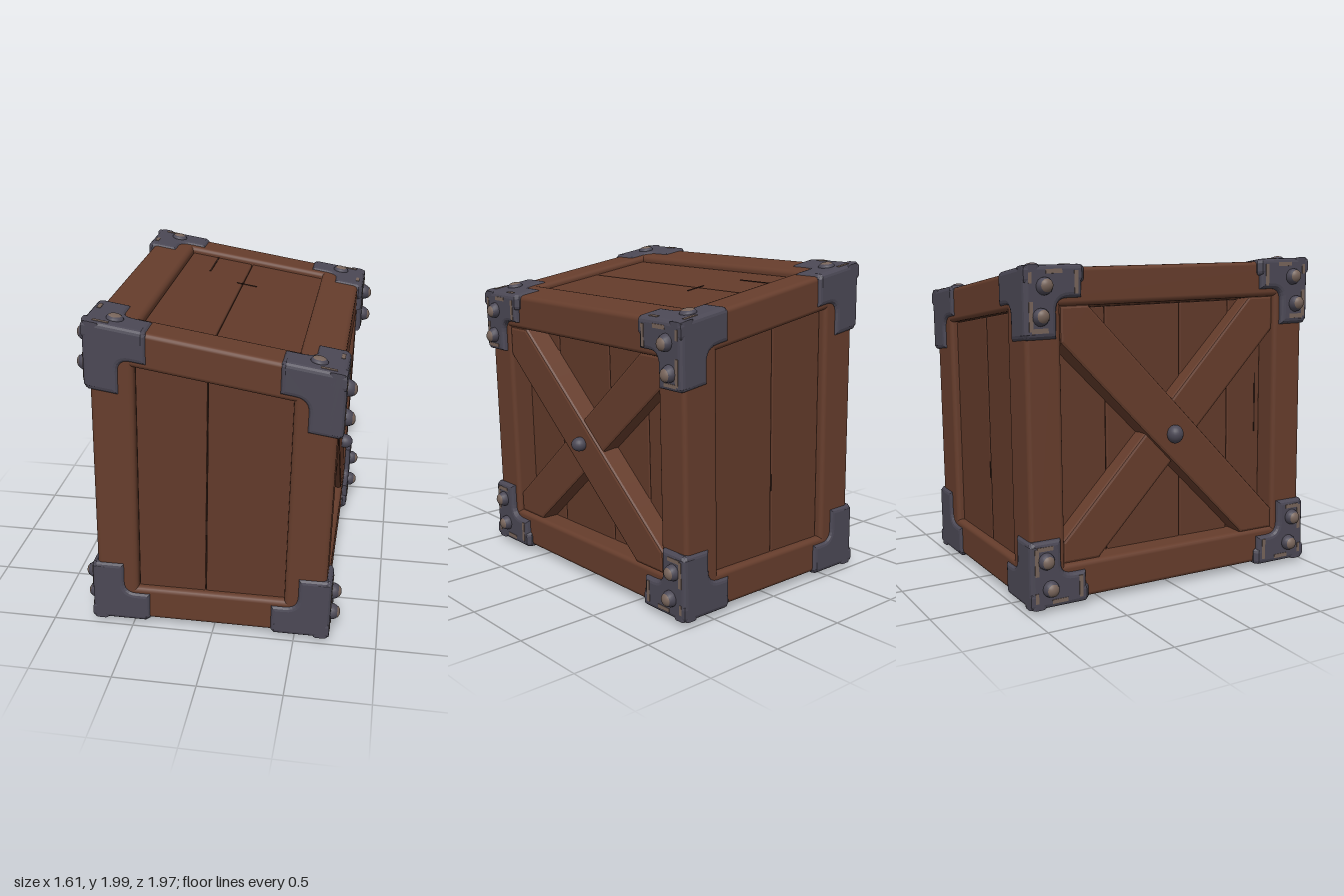
import * as THREE from 'three';
import { RoundedBoxGeometry } from 'three/addons/geometries/RoundedBoxGeometry.js';

const flat = (name, color) => Object.assign(new THREE.MeshStandardMaterial({ color }), { name });

// The crate is laid out as a regular box around the origin, then skewed by bend().
const MID = 0.953, SLOPE = 0.16, LEAN = 0.022;
const BODY = [0.7, 0.909, 0.965];     // half sizes of the timber frame
const INNER = [0.45, 0.692, 0.745];   // half sizes of the panel openings
const CAP = [0.733, 0.922, 0.983];    // half sizes over the metal corners
const SIDE = 0.56;                    // depth of the side panels

// Tilts the upper part down towards +x and lifts the crate onto the ground
function bend(geo) {
  const p = geo.attributes.position, n = geo.attributes.normal, v = new THREE.Vector3();
  for (let i = 0; i < p.count; i++) {
    const x = p.getX(i), y = p.getY(i);
    const t = THREE.MathUtils.clamp((y + 0.3) / 0.9, 0, 1);
    p.setXY(i, x + LEAN * y, y + MID - SLOPE * x * t);
    v.fromBufferAttribute(n, i);
    v.x += SLOPE * t * v.y;
    v.normalize();
    n.setXYZ(i, v.x, v.y, v.z);
  }
  return geo;
}

// Mirrors a geometry by signs and keeps its faces outward
function mirror(source, sx, sy, sz) {
  const geo = source.index ? source.toNonIndexed() : source.clone();
  geo.scale(sx, sy, sz);
  if (sx * sy * sz < 0) {
    for (const a of [geo.attributes.position, geo.attributes.normal]) {
      for (let i = 0; i < a.count; i += 3) {
        const b = [a.getX(i + 1), a.getY(i + 1), a.getZ(i + 1)];
        a.setXYZ(i + 1, a.getX(i + 2), a.getY(i + 2), a.getZ(i + 2));
        a.setXYZ(i + 2, ...b);
      }
    }
  }
  return geo;
}

// L-shaped plate with its outer corner at 0,0 and its face at z = 0
function cornerPlate(lenU, lenV, thickU, thickV) {
  const r = 0.075, c = 0.025, s = new THREE.Shape();
  s.moveTo(0, 0);
  s.lineTo(-lenU + c, 0);
  s.lineTo(-lenU, -c);
  s.lineTo(-lenU, -thickU);
  s.lineTo(-thickV - r, -thickU);
  s.quadraticCurveTo(-thickV, -thickU, -thickV, -thickU - r);
  s.lineTo(-thickV, -lenV);
  s.lineTo(-c, -lenV);
  s.lineTo(0, -lenV + c);
  s.closePath();
  const geo = new THREE.ExtrudeGeometry(s, {
    depth: 0.05, bevelSize: 0.028, bevelOffset: -0.028, bevelThickness: 0.028, bevelSegments: 3, curveSegments: 6,
  });
  return geo.translate(0, 0, -0.078);
}

export function createModel() {
  const model = new THREE.Group();
  model.name = 'crate';
  const frameWood = flat('frame wood', 0x663d2c);
  const panelWood = flat('panel wood', 0x623a2a);
  const groove = flat('dark groove', 0x2e1b14);
  const metal = flat('metal', 0x4b4855);
  const worn = flat('worn metal', 0x77645a);

  const add = (name, geo, mat) => {
    const mesh = new THREE.Mesh(bend(geo), mat);
    mesh.name = name;
    model.add(mesh);
  };
  const block = (name, mat, x, y, z, r) => {
    const size = [x, y, z].map(([a, b]) => Math.abs(b - a));
    const geo = r ? new RoundedBoxGeometry(...size, 2, r) : new THREE.BoxGeometry(...size);
    geo.translate((x[0] + x[1]) / 2, (y[0] + y[1]) / 2, (z[0] + z[1]) / 2);
    add(name, geo, mat);
  };
  const full = (k) => [-BODY[k], BODY[k]];
  const edge = (k, s) => [s * INNER[k], s * BODY[k]];

  // Dark core showing in the gaps between planks
  block('core', groove, [0.015 - SIDE, SIDE - 0.015], [-0.855, 0.855], [-0.905, 0.905]);

  // Timber frame: four beams along each axis
  for (const a of [-1, 1]) for (const b of [-1, 1]) {
    block('cornerPost', frameWood, edge(0, a), full(1), edge(2, b), 0.028);
    block('crossRail', frameWood, full(0), edge(1, a), edge(2, b), 0.028);
    block('sideRail', frameWood, edge(0, a), edge(1, b), full(2), 0.028);
  }

  // Planks, with a narrow gap around each
  const g = 0.003;
  const spans = (cuts) => cuts.slice(1).map((c, i) => [cuts[i] + g, c - g]);
  const [ix, iy, iz] = INNER;
  const tall = [-iy - 0.01, iy - g], long = [-iz + g, iz + 0.01];
  for (const s of [-1, 1]) {
    for (const x of spans([-ix, -0.035, ix + 0.01]))
      block(s > 0 ? 'frontPlank' : 'backPlank', panelWood, x, tall, [s * 0.88, s * 0.92], 0.008);
    for (const z of spans([-iz, -0.49, -0.13, 0.39, iz]))
      block('sidePlank', panelWood, [s * (SIDE - 0.04), s * SIDE], tall, [s * z[0], s * z[1]], 0.008);
  }
  for (const x of spans([-ix, -0.035, ix + 0.02])) {
    block('topPlank', panelWood, x, [0.83, 0.872], long, 0.008);
    for (const z of spans([-iz, -0.25, 0.25, iz]))
      block('bottomPlank', panelWood, x, [-0.87, -0.83], z, 0.01);
  }

  // Crossed braces on both sides, the second one lying over the first
  const brace = (flip, top, s) => {
    const pts = [[0.57, iy], [iz, iy], [iz, 0.5], [-0.51, -iy], [-iz, -iy], [-iz, -0.57]]
      .map(([z, y]) => new THREE.Vector2(-z * flip, y));
    const geo = new THREE.ExtrudeGeometry(new THREE.Shape(pts), {
      depth: top - SIDE, bevelSize: 0.018, bevelOffset: -0.014, bevelThickness: 0.018, bevelSegments: 2,
    });
    geo.translate(0, 0, SIDE - 0.018).rotateY(s * Math.PI / 2);
    add('brace', geo, frameWood);
  };
  for (const s of [-1, 1]) {
    brace(-1, 0.675, s);
    brace(1, 0.695, s);
    add('centreBolt', new THREE.SphereGeometry(0.05, 20, 14).translate(s * 0.713, -0.03, 0), metal);
  }

  // Metal corner caps: three L plates, rivets and worn patches at each corner
  const [cx, cy, cz] = CAP;
  const X = new THREE.Vector3(1, 0, 0), Y = new THREE.Vector3(0, 1, 0), Z = new THREE.Vector3(0, 0, 1);
  const place = (geo, u, v, n) =>
    geo.applyMatrix4(new THREE.Matrix4().makeBasis(u, v, n).setPosition(cx, cy, cz));
  const plates = [
    place(cornerPlate(0.36, 0.4, 0.195, 0.2), X, Y, Z),
    place(cornerPlate(0.4, 0.36, 0.2, 0.185), Y, Z, X),
    place(cornerPlate(0.38, 0.36, 0.19, 0.2), Z, X, Y),
  ];
  // A grey dome (angle up to PI) or just the worn skin on its tip (small angle)
  const dome = (x, y, z, height, angle, grow) => {
    const geo = new THREE.SphereGeometry(grow, 16, 10, 0, Math.PI * 2, 0, angle).scale(0.05, height, 0.05);
    if (y < cy) geo.rotateZ(-Math.PI / 2);
    return geo.translate(x, y, z);
  };
  const rivets = [[cx, 0.803, 0.86, 0.054], [cx, 0.635, 0.885, 0.054], [0.57, cy, 0.86, 0.026]];
  const domes = rivets.map((r) => dome(...r, Math.PI, 1));
  const tips = rivets.map((r) => dome(...r, 0.8, 1.03));
  // Worn patches on the side plate: height, depth, centre y, centre z
  const patches = [
    [0.13, 0.024, 0.82, 0.663], [0.024, 0.1, 0.883, 0.8], [0.16, 0.024, 0.64, 0.944], [0.024, 0.1, 0.563, 0.89],
    [0.06, 0.02, 0.85, 0.946],
  ].map(([h, d, y, z]) => new THREE.BoxGeometry(0.006, h, d).translate(cx, y, z));
  // Worn patches on the top plate
  const topPatches = [[0.09, 0.022, 0.63, 0.94], [0.022, 0.07, 0.694, 0.72]]
    .map(([w, d, x, z]) => new THREE.BoxGeometry(w, 0.006, d).translate(x, cy, z));
  for (const sx of [-1, 1]) for (const sy of [-1, 1]) for (const sz of [-1, 1]) {
    const put = (name, list, mat) => list.forEach((p) => add(name, mirror(p, sx, sy, sz), mat));
    put('cornerPlate', plates, metal);
    put('rivet', domes, metal);
    put('rivetTip', sy > 0 ? tips : tips.slice(0, 2), worn);
    put('wornPatch', patches, worn);
    if (sy > 0) put('wornPatch', topPatches, worn);
  }

  // Cracks in the wood
  for (const s of [-1, 1]) {
    const face = [s * (SIDE - 0.004), s * (SIDE + 0.003)];
    block('sideCrack', groove, face, [-0.1, 0.25], [s * -0.7, s * -0.708]);
    block('sideCrack', groove, face, [0.2, 0.32], [s * 0.3, s * 0.31]);
    block('frontCrack', groove, [-0.04, -0.028], [-0.3, -0.2], [s * 0.916, s * 0.923]);
  }
  block('topCrack', groove, [-0.275, -0.265], [0.868, 0.875], [-0.735, -0.42]);
  block('topCrack', groove, [-0.07, 0.06], [0.868, 0.875], [-0.3, -0.288]);
  return model;
}
